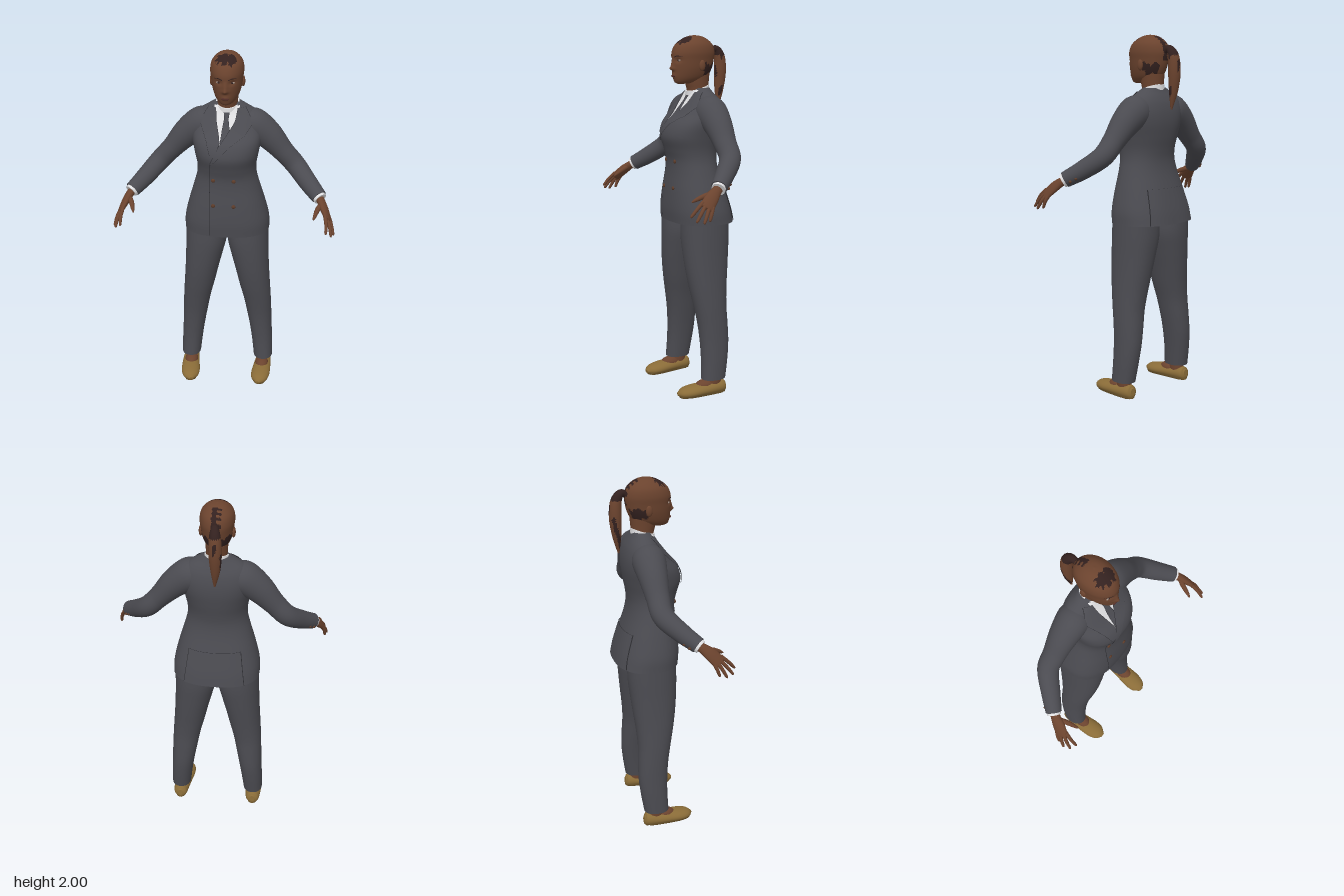
import * as THREE from 'three';

const mat = (name, color) => new THREE.MeshStandardMaterial({ name, color, side: THREE.DoubleSide });
const V = (x, y, z) => new THREE.Vector3(x, y, z);
const gauss = (d, s) => Math.exp(-(d / s) * (d / s));
const { clamp, lerp } = THREE.MathUtils;

// Skin over closed rings of points; rule(centroid) picks a material index per triangle
function skin(rings, rule = () => 0) {
  const pos = [], tris = [], n = rings[0].length;
  rings.forEach(r => r.forEach(p => pos.push(p)));
  rings.slice(1).forEach((_, i) => {
    for (let j = 0; j < n; j++) {
      const k = (j + 1) % n, a = i * n + j, b = a + n, c = i * n + k, d = c + n;
      tris.push([a, b, c], [c, b, d]);
    }
  });
  // end caps with their own vertices keep the rims sharp
  [rings[0], rings[rings.length - 1]].forEach((ring, end) => {
    const start = pos.length, mid = V(0, 0, 0);
    ring.forEach(p => { pos.push(p); mid.addScaledVector(p, 1 / n); });
    pos.push(mid);
    for (let j = 0; j < n; j++) {
      const a = start + j, b = start + (j + 1) % n;
      tris.push(end ? [start + n, b, a] : [start + n, a, b]);
    }
  });
  const buckets = [];
  tris.forEach(t => {
    const c = V(0, 0, 0);
    t.forEach(i => c.addScaledVector(pos[i], 1 / 3));
    const m = rule(c);
    (buckets[m] ||= []).push(...t);
  });
  const geo = new THREE.BufferGeometry().setFromPoints(pos);
  geo.setIndex(buckets.flat());
  let at = 0;
  buckets.forEach((b, m) => { geo.addGroup(at, b.length, m); at += b.length; });
  geo.computeVertexNormals();
  return geo;
}

// Smooth interpolation of rows [y, centreX, radiusX, zFront, zBack, exponent]
function profile(rows) {
  const a = new THREE.CatmullRomCurve3(rows.map(r => V(r[0], r[1], r[2])), false, 'catmullrom', 0.5);
  const b = new THREE.CatmullRomCurve3(rows.map(r => V(r[3], r[4], r[5] ?? 2)), false, 'catmullrom', 0.5);
  return t => {
    const p = a.getPoint(t), q = b.getPoint(t);
    return { y: p.x, cx: p.y, rx: p.z, cz: (q.x + q.y) / 2, rz: (q.x - q.y) / 2, n: q.z };
  };
}

// Horizontal cross-sections stacked upwards
function loft(rows, { steps = 40, seg = 40, bump = p => p, rule } = {}) {
  const f = profile(rows), rings = [];
  const pw = (v, n) => Math.sign(v) * Math.abs(v) ** (2 / n);
  for (let i = 0; i <= steps; i++) {
    const s = f(i / steps);
    rings.push(Array.from({ length: seg }, (_, j) => {
      const a = j / seg * Math.PI * 2;
      return bump(V(s.cx + s.rx * pw(Math.cos(a), s.n), s.y, s.cz + s.rz * pw(Math.sin(a), s.n)));
    }));
  }
  return skin(rings, rule);
}

// Tapered sweep through rows [x, y, z, radius along ref, radius across]
function sweep(rows, { ref = V(0, 0, 1), steps = 24, seg = 20, bump = p => p, rule } = {}) {
  const path = new THREE.CatmullRomCurve3(rows.map(r => V(r[0], r[1], r[2])), false, 'catmullrom', 0.5);
  const size = new THREE.CatmullRomCurve3(rows.map(r => V(r[3], r[4] ?? r[3], 0)), false, 'catmullrom', 0.5);
  const rings = [];
  for (let i = 0; i <= steps; i++) {
    const t = i / steps, p = path.getPoint(t), s = size.getPoint(t), T = path.getTangent(t);
    const B = T.clone().cross(ref).normalize(), N = B.clone().cross(T);
    rings.push(Array.from({ length: seg }, (_, j) => {
      const a = j / seg * Math.PI * 2;
      return bump(p.clone().addScaledVector(N, Math.cos(a) * s.x).addScaledVector(B, -Math.sin(a) * s.y));
    }));
  }
  return skin(rings, rule);
}

const JACKET = [
  [0.975, 0, 0.24, 0.1, -0.25, 2.5], [1.05, 0, 0.236, 0.105, -0.235, 2.4], [1.15, 0, 0.212, 0.1, -0.208, 2.3],
  [1.25, 0, 0.183, 0.09, -0.18, 2.2], [1.32, 0, 0.165, 0.09, -0.17, 2.2], [1.38, 0, 0.163, 0.105, -0.175, 2.2],
  [1.45, 0, 0.175, 0.122, -0.188, 2.3], [1.52, 0, 0.188, 0.1, -0.197, 2.4], [1.58, 0, 0.19, 0.048, -0.195, 2.4],
  [1.63, 0, 0.18, 0.01, -0.184, 2.3], [1.665, 0, 0.155, -0.015, -0.168, 2.2], [1.695, 0, 0.11, -0.03, -0.15, 2],
  [1.715, 0, 0.075, -0.045, -0.14, 2]];
const jacketAt = profile(JACKET);

// Height of the jacket surface over (x, y); dir is 1 for the front, -1 for the back
function jacketZ(x, y, dir = 1) {
  let lo = 0, hi = 1;
  for (let i = 0; i < 24; i++) { const m = (lo + hi) / 2; if (jacketAt(m).y < y) lo = m; else hi = m; }
  const s = jacketAt(lo), u = Math.min(Math.abs(x / s.rx), 0.97);
  return s.cz + dir * s.rz * (1 - u ** s.n) ** (1 / s.n);
}

// Cloth panel laid on the jacket; rows [y, xLeft, xRight] run downwards
function drape(rows, off, dir = 1, grow = 0) {
  const geo = new THREE.PlaneGeometry(1, 1, 12, 40), p = geo.attributes.position;
  for (let i = 0; i < p.count; i++) {
    const u = p.getX(i) + 0.5, t = (0.5 - p.getY(i)) * (rows.length - 1);
    const k = Math.min(Math.floor(t), rows.length - 2), f = t - k, [a, b] = [rows[k], rows[k + 1]];
    const y = lerp(a[0], b[0], f), x = lerp(lerp(a[1], b[1], f) - grow, lerp(a[2], b[2], f) + grow, dir > 0 ? u : 1 - u);
    p.setXYZ(i, x, y, jacketZ(x, y, dir) + off * dir);
  }
  geo.computeVertexNormals();
  return geo;
}

export function createModel() {
  const root = new THREE.Group();
  const suit = mat('suit cloth', 0x4b4b51), seam = mat('suit seam', 0x2b2b2f), shirt = mat('shirt white', 0xdedee0);
  const flesh = mat('skin brown', 0x6b432e), hair = mat('dark hair', 0x33211f), shoe = mat('shoe tan', 0x8a6c38);
  const sole = mat('sole brown', 0x3d2c20), button = mat('button brown', 0x5e3d2b), lip = mat('lip brown', 0x55302a);
  const eyeWhite = mat('eye white', 0x9c8a7e);
  const add = (name, geo, m) => {
    const mesh = new THREE.Mesh(geo, m);
    mesh.name = name;
    root.add(mesh);
    return mesh;
  };
  const ball = (name, m, c, r) => {
    const mesh = add(name, new THREE.SphereGeometry(1, 20, 14), m);
    mesh.position.set(...c);
    mesh.scale.set(...r);
  };

  // Jacket with shirt front, tie and lapels
  add('jacketBody', loft(JACKET, { steps: 72, seg: 56 }), suit);
  add('shirtFront', drape([[1.705, -0.07, 0.07], [1.64, -0.055, 0.05], [1.57, -0.035, 0.012], [1.53, -0.03, -0.02]], 0.003), shirt);
  add('tie', drape([[1.675, -0.014, 0.014], [1.645, -0.01, 0.01], [1.6, -0.018, 0.018], [1.53, -0.026, 0.012]], 0.006), suit);
  add('tieEdge', drape([[1.675, -0.014, 0.014], [1.645, -0.01, 0.01], [1.6, -0.018, 0.018], [1.53, -0.026, 0.012]], 0.005, 1, 0.002), seam);
  const lapels = [
    [[1.695, -0.1, -0.06], [1.64, -0.135, -0.055], [1.62, -0.14, -0.05], [1.54, -0.1, -0.03], [1.47, -0.078, -0.056]],
    [[1.695, 0.06, 0.1], [1.64, 0.05, 0.135], [1.62, 0.04, 0.14], [1.57, 0.005, 0.1], [1.52, -0.035, 0.02], [1.42, -0.082, -0.075]]];
  lapels.forEach(rows => {
    add('lapel', drape(rows, 0.008), suit);
    add('lapelEdge', drape(rows, 0.0065, 1, 0.002), seam);
  });
  add('frontOverlapSeam', drape([[1.42, -0.082, -0.079], [1.2, -0.088, -0.085], [0.98, -0.088, -0.085]], 0.002), seam);
  add('backPanel', drape([[1.17, -0.14, 0.14], [0.978, -0.165, 0.165]], 0.007, -1), suit);
  add('backVentEdges', drape([[1.17, -0.14, 0.14], [0.978, -0.165, 0.165]], 0.004, -1, 0.003), seam);
  for (const x of [-0.065, 0.048]) for (const y of [1.167, 1.315])
    ball('jacketButton', button, [x, y, jacketZ(x, y) + 0.002], [0.011, 0.011, 0.006]);
  add('shirtCollar', loft([[1.66, 0, 0.07, -0.012, -0.148], [1.69, 0, 0.068, -0.014, -0.146], [1.722, 0, 0.064, -0.016, -0.144]],
    { steps: 8, bump: p => { p.y -= 0.3 * (p.z + 0.1); return p; } }), shirt);

  // Neck and head, with hair patches on the scalp
  add('neck', loft([[1.62, 0, 0.062, -0.03, -0.14], [1.7, 0, 0.056, -0.02, -0.142], [1.74, 0, 0.057, -0.01, -0.145],
    [1.79, 0, 0.06, 0, -0.15]], { steps: 14 }), flesh);
  const face = p => {
    if (p.z < 0) return p;
    const { x, y } = p, ax = Math.abs(x);
    const ridge = Math.min(clamp((1.878 - y) / 0.053, 0, 1), clamp((y - 1.808) / 0.012, 0, 1));
    p.z += 0.016 * gauss(x, 0.012) * ridge + 0.006 * gauss(x, 0.022) * gauss(y - 1.819, 0.01)
      - 0.009 * gauss(ax - 0.036, 0.018) * gauss(y - 1.866, 0.012) + 0.005 * gauss(x, 0.02) * gauss(y - 1.782, 0.012);
    return p;
  };
  const scalp = ({ x, y, z }) => {
    const w = 0.008 * Math.sin(x * 170) + 0.006 * Math.sin(z * 230 + y * 90);
    const crown = Math.abs(x + 0.005) < 0.052 + w && z > -0.022 + w && z < 0.045 && y > 1.955 + w;
    const parting = Math.abs(x) < 0.018 + w && z < -0.105 && y > 1.86;
    const behindEar = Math.abs(x) > 0.03 && z < -0.075 + w && y > 1.785 + w && y < 1.845 + w;
    return crown || parting || behindEar ? 1 : 0;
  };
  add('head', loft([[1.738, 0, 0.02, 0.045, -0.03], [1.748, 0, 0.043, 0.06, -0.09], [1.775, 0, 0.064, 0.068, -0.138],
    [1.82, 0, 0.079, 0.072, -0.163], [1.87, 0, 0.086, 0.074, -0.175], [1.91, 0, 0.09, 0.072, -0.178],
    [1.95, 0, 0.082, 0.052, -0.165], [1.98, 0, 0.058, 0.012, -0.132], [1.995, 0, 0.032, -0.025, -0.097],
    [2, 0, 0.003, -0.057, -0.063]], { steps: 76, seg: 88, bump: face, rule: scalp }), [flesh, hair]);
  ball('lips', lip, [0, 1.781, 0.071], [0.022, 0.007, 0.005]);
  add('ponytail', sweep([[0, 1.905, -0.16, 0.016], [-0.004, 1.925, -0.195, 0.02], [-0.008, 1.885, -0.224, 0.03],
    [-0.01, 1.8, -0.23, 0.034], [-0.01, 1.7, -0.224, 0.025], [-0.005, 1.6, -0.214, 0.005]],
    { ref: V(1, 0, 0), steps: 48, rule: ({ x, y, z }) => y > 1.89 || Math.sin(x * 150 + y * 22) + Math.sin(z * 120 + y * 35) > 1.15 ? 1 : 0 }),
    [flesh, hair]);

  for (const s of [1, -1]) {
    const m = rows => rows.map(([x, ...rest]) => [x * s, ...rest]);
    const side = s > 0 ? 'left' : 'right';

    // Face details
    ball(side + 'Eye', eyeWhite, [0.036 * s, 1.866, 0.053], [0.014, 0.006, 0.006]);
    ball(side + 'Iris', hair, [0.035 * s, 1.866, 0.057], [0.0055, 0.0055, 0.004]);
    add(side + 'Eyebrow', sweep(m([[0.016, 1.884, 0.071, 0.002, 0.003], [0.036, 1.89, 0.0625, 0.002, 0.003],
      [0.057, 1.886, 0.044, 0.001, 0.002]]), { steps: 10, seg: 8 }), hair);
    ball(side + 'Ear', flesh, [0.084 * s, 1.838, -0.065], [0.011, 0.03, 0.018]);

    // Sleeve, shirt cuff and sleeve buttons
    add(side + 'Sleeve', sweep(m([[0.1, 1.595, -0.085, 0.08, 0.075], [0.145, 1.585, -0.085, 0.09], [0.225, 1.525, -0.085, 0.078],
      [0.305, 1.437, -0.082, 0.063, 0.06], [0.377, 1.36, -0.072, 0.058, 0.056], [0.45, 1.29, 0.002, 0.051], [0.513, 1.238, 0.073, 0.043]]),
      { steps: 48, seg: 28 }), suit);
    add(side + 'ShirtCuff', sweep(m([[0.49, 1.257, 0.047, 0.037], [0.521, 1.231, 0.082, 0.037]]), { steps: 4 }), shirt);
    for (const t of [0, 1])
      ball(side + 'SleeveButton', button, [(0.523 - 0.02 * t) * s, 1.232 + 0.016 * t, 0.022 - 0.022 * t], [0.008, 0.008, 0.008]);

    // Hand with four fingers and a thumb
    const spread = V(-0.4 * s, 0.48, 0.78);
    add(side + 'Palm', sweep(m([[0.505, 1.243, 0.062, 0.026, 0.024], [0.523, 1.225, 0.092, 0.027, 0.022],
      [0.543, 1.195, 0.13, 0.036, 0.02], [0.565, 1.155, 0.17, 0.036, 0.013], [0.569, 1.147, 0.178, 0.028, 0.007]]), { ref: spread }), flesh);
    const tips = [[0.588, 1.083, 0.168], [0.598, 1.076, 0.205], [0.585, 1.084, 0.242], [0.555, 1.106, 0.26]];
    tips.forEach(([x, y, z], i) => {
      const k = -0.028 + i * 0.0187, b = [0.56 - 0.4 * k, 1.166 + 0.48 * k, 0.162 + 0.78 * k];
      const at = (f, lift) => [lerp(b[0], x, f) + lift, lerp(b[1], y, f) + lift, lerp(b[2], z, f)];
      add(side + 'Finger', sweep(m([[...at(0, 0), 0.0105], [...at(0.5, 0.004), 0.0095], [...at(0.9, 0.001), 0.0075], [...at(1, 0), 0.003]]),
        { ref: V(1, 0, 0), steps: 14, seg: 12 }), flesh);
    });
    add(side + 'Thumb', sweep(m([[0.527, 1.215, 0.11, 0.014], [0.507, 1.2, 0.155, 0.014], [0.494, 1.182, 0.195, 0.01], [0.487, 1.17, 0.217, 0.004]]),
      { ref: V(0, 1, 0), steps: 14, seg: 12 }), flesh);

    // Trouser leg
    const leg = [[0.09, 0.22, 0.056, 0.005, -0.138], [0.2, 0.212, 0.061, 0, -0.155], [0.3, 0.202, 0.066, 0.002, -0.165],
      [0.4, 0.191, 0.073, 0.01, -0.164], [0.5, 0.179, 0.08, 0.026, -0.161], [0.6, 0.163, 0.089, 0.045, -0.168],
      [0.7, 0.148, 0.097, 0.06, -0.18], [0.8, 0.133, 0.107, 0.069, -0.191], [0.9, 0.12, 0.117, 0.073, -0.2], [1, 0.118, 0.116, 0.07, -0.2]];
    add(side + 'TrouserLeg', loft(leg.map(([y, cx, ...r]) => [y, cx * s, ...r, 2.2]), { steps: 50 }), suit);

    // Foot and slip-on shoe with a flat sole
    add(side + 'Ankle', loft([[0.03, 0.219 * s, 0.036, -0.02, -0.118], [0.12, 0.22 * s, 0.036, -0.03, -0.112]], { steps: 6 }), flesh);
    ball(side + 'Instep', flesh, [0.216 * s, 0.05, -0.015], [0.04, 0.035, 0.06]);
    add(side + 'Shoe', sweep(m([[0.222, 0.038, -0.142, 0.02, 0.015], [0.222, 0.036, -0.125, 0.038, 0.038], [0.222, 0.034, -0.07, 0.038, 0.046],
      [0.218, 0.032, 0, 0.036, 0.052], [0.212, 0.028, 0.07, 0.034, 0.055], [0.206, 0.024, 0.12, 0.027, 0.043], [0.2, 0.02, 0.15, 0.009, 0.012]]),
      { ref: V(0, 1, 0), steps: 36, seg: 32, bump: p => { p.y = p.y < 0.008 ? 0 : p.y; return p; }, rule: c => c.y < 0.002 ? 1 : 0 }), [shoe, sole]);
  }
  return root;
}
